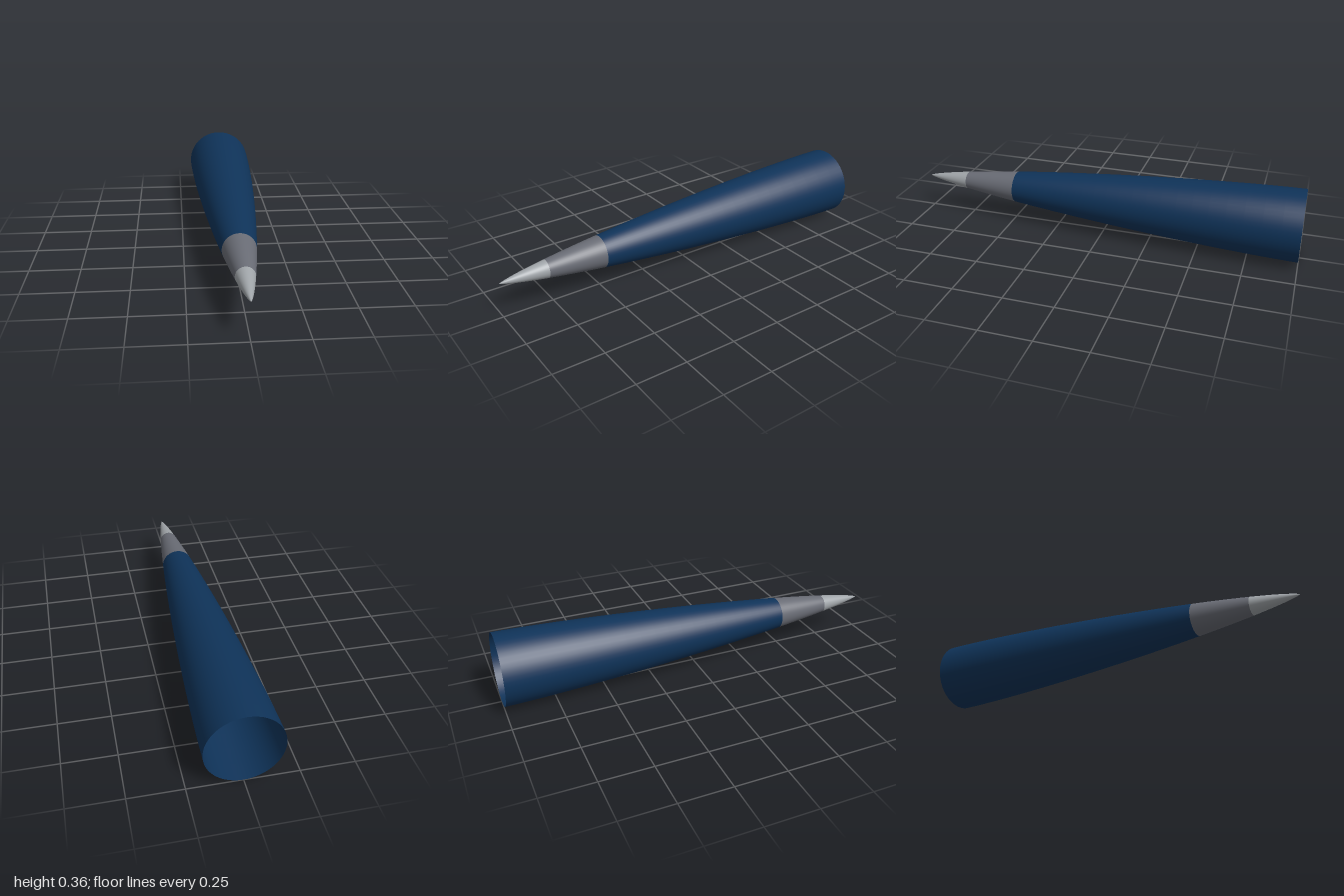
import * as THREE from 'three';

const RADIUS = 0.179, LENGTH = 2;

// Slender nose curve: radius at a given z, tip at z = 1, tangent at the open base z = -1
function radiusAt(z) {
  const t = Math.acos(THREE.MathUtils.clamp(1 - 2 * (1 - z) / LENGTH, -1, 1));
  return RADIUS * Math.sqrt(Math.max(0, t - Math.sin(2 * t) / 2) / Math.PI);
}

const paint = (name, color) =>
  new THREE.MeshStandardMaterial({ name, color, side: THREE.DoubleSide });

// One band of the shell, turned about the z axis
function shellSection(name, zBack, zFront, steps, material) {
  const points = [];
  for (let i = 0; i <= steps; i++) {
    const u = i / steps;
    const z = zBack + (zFront - zBack) * (1 - (1 - u) ** 1.5);
    points.push(new THREE.Vector2(radiusAt(z), z));
  }
  const mesh = new THREE.Mesh(new THREE.LatheGeometry(points, 48).rotateX(Math.PI / 2), material);
  mesh.name = name;
  mesh.position.y = RADIUS;
  return mesh;
}

export function createModel() {
  const group = new THREE.Group();
  group.name = 'noseCone';
  group.add(
    // Long painted body, open at the back
    shellSection('body', -1, 0.485, 24, paint('navy blue', 0x0f3359)),
    // Dark metal collar
    shellSection('collar', 0.485, 0.77, 8, paint('dark grey', 0x696c75)),
    // Bright metal point
    shellSection('tip', 0.77, 1, 12, paint('silver', 0xa0a5a9)),
  );
  return group;
}
